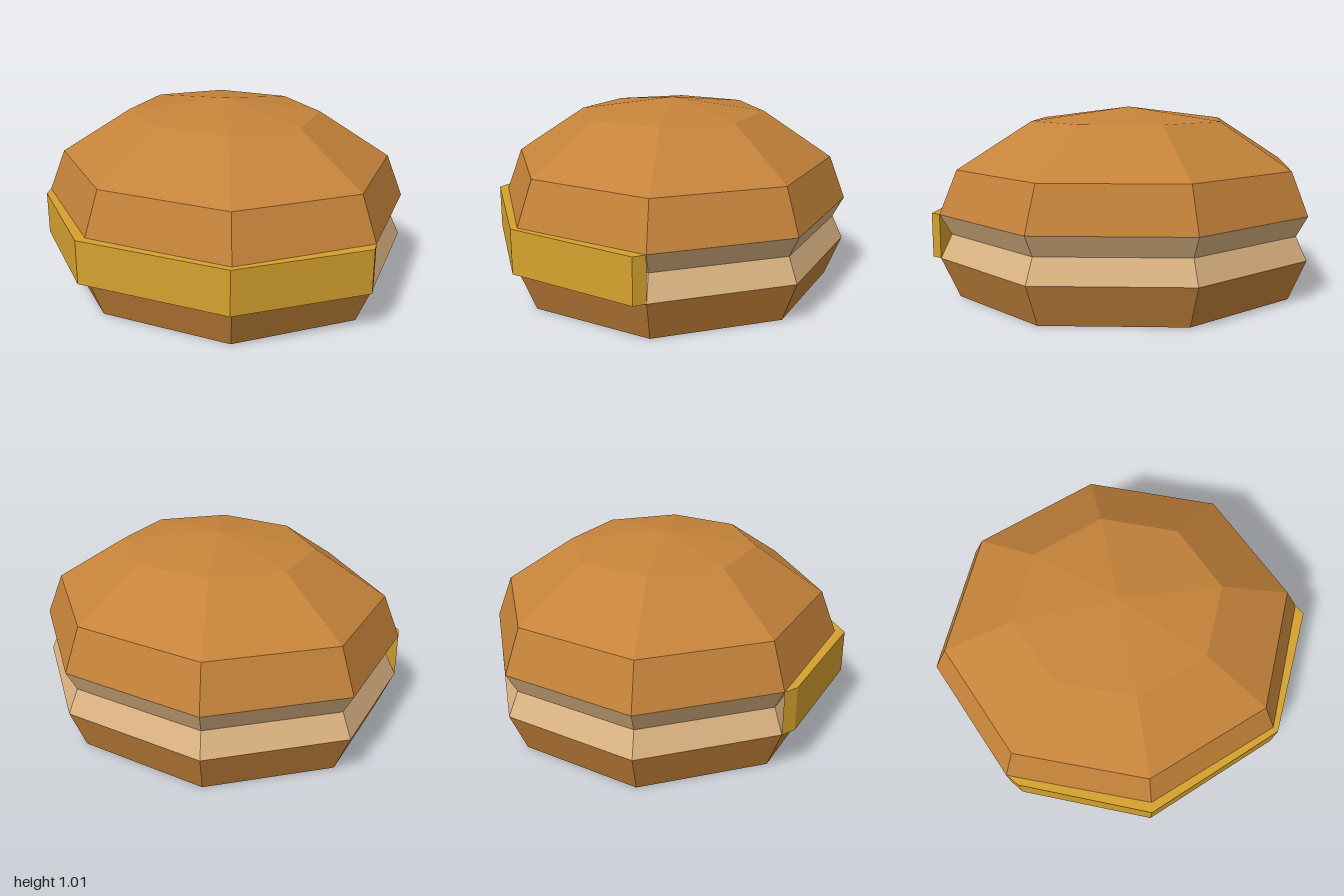
import * as THREE from 'three';

const bread = new THREE.MeshStandardMaterial({ color: 0xc5833a });
bread.name = 'crust brown';
const filling = new THREE.MeshStandardMaterial({ color: 0xdcb482 });
filling.name = 'filling tan';
const mustard = new THREE.MeshStandardMaterial({ color: 0xd6a22e });
mustard.name = 'band yellow';

// Slightly skewed octagon footprint shared by every layer
const skew = new THREE.Matrix4().set(
  1.044, 0, 0.0725, -0.007,
  0, 1, 0, 0,
  -0.01, 0, 0.984, -0.024,
  0, 0, 0, 1
);

function faceted(name, geometry, material) {
  const flat = geometry.toNonIndexed();
  flat.computeVertexNormals();
  const mesh = new THREE.Mesh(flat, material);
  mesh.name = name;
  return mesh;
}

// Eight-sided layer from a [radius, height] profile, bottom to top
function layer(name, profile, material) {
  const points = profile.map(([r, y]) => new THREE.Vector2(r, y));
  const geometry = new THREE.LatheGeometry(points, 8, Math.PI / 8);
  return faceted(name, geometry.applyMatrix4(skew), material);
}

// Corner of the octagon in the ground plane
function corner(k) {
  const a = (k + 0.5) * Math.PI / 4;
  const v = new THREE.Vector3(Math.cos(a), 0, Math.sin(a)).applyMatrix4(skew);
  return new THREE.Vector2(v.x, v.z);
}

export function createModel() {
  const group = new THREE.Group();
  group.name = 'bun';

  group.add(layer('lowerBun', [[0, 0], [0.909, 0], [1, 0.218]], bread));
  group.add(layer('filling', [[1, 0.218], [0.941, 0.345], [1, 0.455]], filling));
  group.add(layer('upperBun', [[1, 0.455], [0.909, 0.688], [0.525, 0.937], [0, 1.008]], bread));

  // Band wrapped around the three front sides
  const outer = [[-0.915, 0.44], [-0.365, 0.937], [0.467, 0.915], [0.997, 0.41]]
    .map(([x, z]) => new THREE.Vector2(x, z));
  const inner = [0, 1, 2, 3].map(corner);
  const band = new THREE.ExtrudeGeometry(new THREE.Shape([...outer, ...inner]), {
    depth: 0.237, bevelEnabled: false,
  });
  band.rotateX(Math.PI / 2).translate(0, 0.455, 0);
  group.add(faceted('frontBand', band, mustard));

  return group;
}
